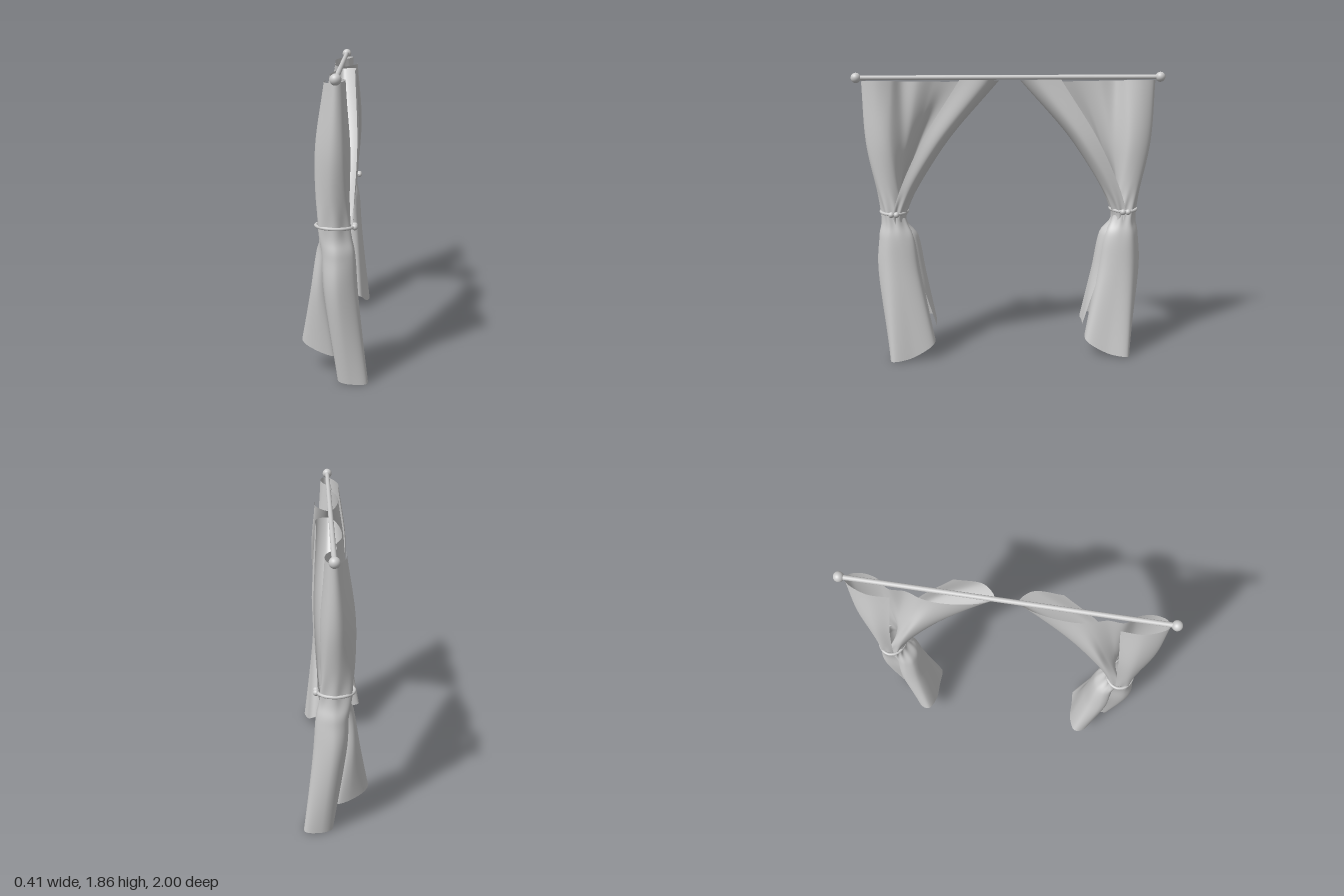
import * as THREE from 'three';

const ROD_X = 0.02, ROD_Y = 1.83, WAIST_Y = 0.97, WAIST_Z = 0.75;

// Cloth cross-sections as [x, z]: from the outer edge, turned to the back,
// round the outside and front, through the middle and round the inner fold
const TOP = [[-.05, .66], [-.05, .80], [0, .925], [.05, .92], [.07, .84], [.05, .75], [0, .68], [0, .58],
  [-.03, .48], [-.04, .38], [-.03, .25], [0, .12], [.04, .07], [.11, .15], [.11, .32]];
const UPPER = [[-.10, .70], [-.10, .80], [-.02, .905], [.05, .905], [.09, .84], [.09, .76], [.03, .69], [0, .65],
  [-.05, .61], [-.09, .58], [-.06, .50], [0, .43], [.07, .425], [.135, .48], [.13, .58]];
const WAIST = [[-.085, .73], [-.085, .80], [0, .835], [.085, .80], [.095, .74], [.06, .69], [0, .70], [-.04, .73],
  [-.07, .76], [-.08, .71], [-.05, .68], [0, .668], [.06, .672], [.10, .71], [.105, .75]];
const LOWER = [[-.06, .72], [-.04, .82], [.03, .86], [.13, .80], [.14, .70], [.11, .60], [.03, .58], [-.03, .62],
  [-.05, .70], [-.10, .71], [-.14, .66], [-.13, .59], [-.05, .555], [.03, .555], [.08, .59]];

// Hem as [x, z, y]
const HEM = [[.02, .70, .02], [.03, .76, .008], [.10, .79, .004], [.20, .77, .004], [.18, .64, .025],
  [.14, .505, .10], [.02, .515, .14], [-.05, .56, .15], [0, .66, .13], [-.08, .66, .15],
  [-.18, .60, .18], [-.20, .53, .20], [-.11, .49, .20], [0, .488, .20], [.08, .483, .20]];

// Flare just under the tieback
const FLARE = WAIST.map(([x, z], i) =>
  [THREE.MathUtils.lerp(x, LOWER[i][0], 0.6), THREE.MathUtils.lerp(z, LOWER[i][1], 0.65)]);

const smoothCurve = points => new THREE.CatmullRomCurve3(points, false, 'catmullrom', 0.5);
const section = (pts, yOf) => smoothCurve(pts.map(([x, z, y]) => new THREE.Vector3(x, yOf(x, y), z)));

function clothGeometry(side) {
  const nu = 150, nv = 80;
  const sections = [
    section(TOP, x => 1.805 + 0.13 * x),
    section(UPPER, () => 1.4),
    section(WAIST, () => WAIST_Y),
    section(FLARE, () => 0.8),
    section(LOWER, () => 0.55),
    section(HEM, (x, y) => y),
  ];
  const pos = [], index = [];
  for (let i = 0; i <= nu; i++) {
    const u = i / nu;
    const strand = smoothCurve(sections.map(s => s.getPoint(u)));
    for (let j = 0; j <= nv; j++) {
      const p = strand.getPoint(j / nv);
      // small gathers that fade away from the tieback
      const pinch = 1 + 0.05 * Math.sin(u * 90) * Math.exp(-(((p.y - WAIST_Y) / 0.1) ** 2));
      pos.push(p.x * pinch, p.y, side * (WAIST_Z + (p.z - WAIST_Z) * pinch));
      if (i < nu && j < nv) {
        const a = i * (nv + 1) + j, b = a + nv + 1;
        if (side > 0) index.push(a, a + 1, b, b, a + 1, b + 1);
        else index.push(a, b, a + 1, b, b + 1, a + 1);
      }
    }
  }
  const g = new THREE.BufferGeometry();
  g.setAttribute('position', new THREE.Float32BufferAttribute(pos, 3));
  g.setIndex(index);
  g.computeVertexNormals();
  return g;
}

export function createModel() {
  const group = new THREE.Group();
  const grey = new THREE.MeshStandardMaterial({ color: 0xcccccc });
  const fabric = new THREE.MeshStandardMaterial({ color: 0xcccccc, side: THREE.DoubleSide });
  const add = (name, geometry, material, x = 0, y = 0, z = 0) => {
    const mesh = new THREE.Mesh(geometry, material);
    mesh.name = name;
    mesh.position.set(x, y, z);
    group.add(mesh);
    return mesh;
  };

  // Rod
  add('rod', new THREE.CylinderGeometry(0.015, 0.015, 1.9, 20), grey, ROD_X, ROD_Y, 0).rotation.x = Math.PI / 2;

  for (const side of [1, -1]) {
    const label = side > 0 ? 'front' : 'back';
    // Ball end
    add(label + 'Finial', new THREE.SphereGeometry(0.032, 24, 16), grey, ROD_X, ROD_Y, side * 0.968);

    // Curtain
    add(label + 'Curtain', clothGeometry(side), fabric);

    // Tieback cord
    const cord = new THREE.CatmullRomCurve3(Array.from({ length: 16 }, (_, i) => {
      const a = i / 16 * Math.PI * 2;
      return new THREE.Vector3(0.005 + 0.108 * Math.cos(a), 0.972 - 0.003 * Math.cos(a),
        side * (WAIST_Z + 0.085 * Math.sin(a)));
    }), true);
    add(label + 'Tieback', new THREE.TubeGeometry(cord, 64, 0.01, 10, true), grey);

    // Beads where the cord is tied
    for (const z of [0.73, 0.763])
      add(label + 'TiebackBead', new THREE.SphereGeometry(0.019, 16, 12), grey, 0.121, 0.968, side * z);
  }
  return group;
}
